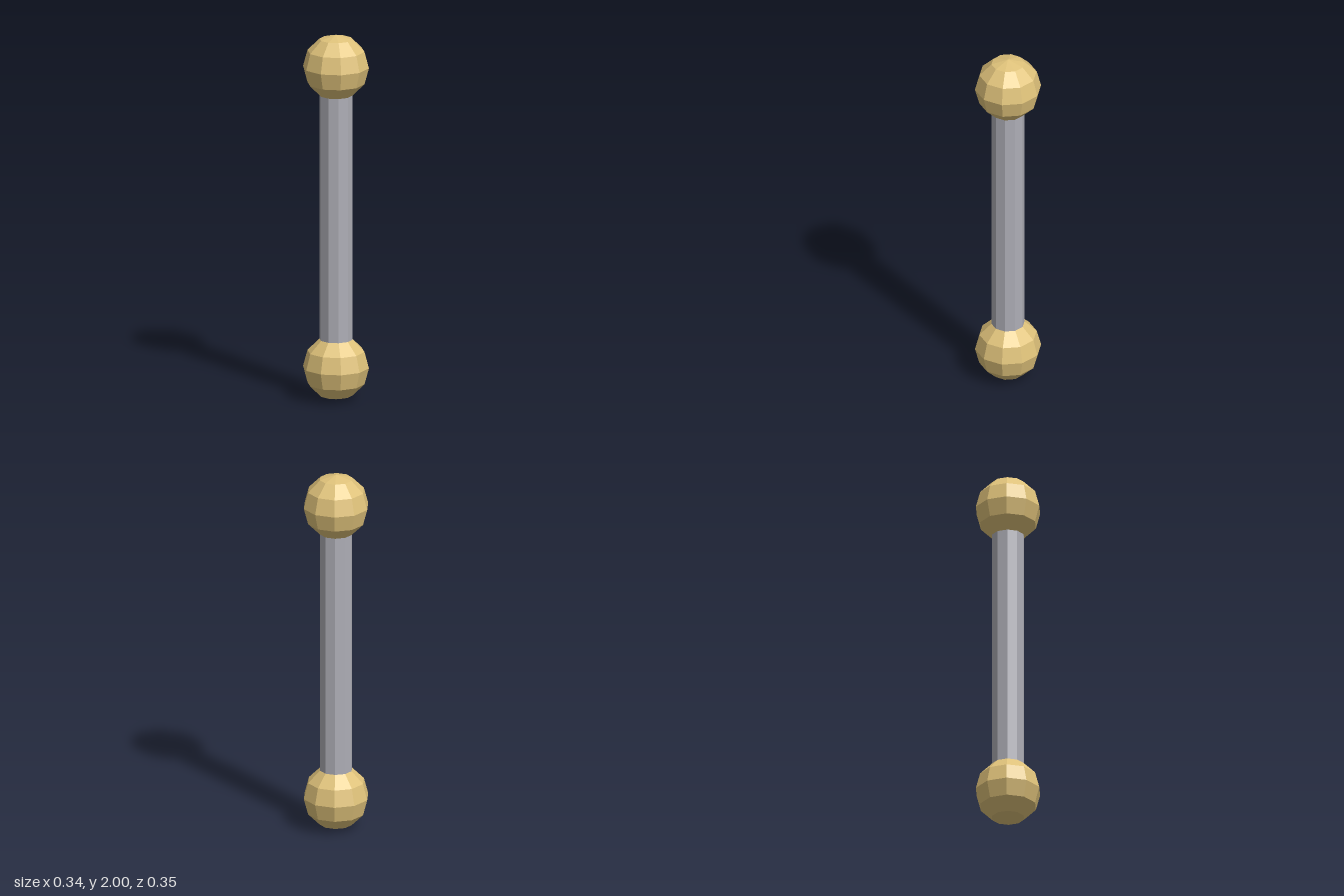
import * as THREE from 'three';

const SIDES = 10;
const R = 0.177;                        // ball radius
const HEIGHT = 2;
const CUT = R * Math.cos(Math.PI / 6);  // height of the ring where rod meets ball

export function createModel() {
  const gold = new THREE.MeshStandardMaterial({ color: 0xdfc27a });
  gold.name = 'gold';
  gold.flatShading = true;
  const steel = new THREE.MeshStandardMaterial({ color: 0xaeaeb6 });
  steel.name = 'steel';
  steel.flatShading = true;

  const group = new THREE.Group();
  group.name = 'barbell';

  const add = (name, geometry, material, y) => {
    const mesh = new THREE.Mesh(geometry, material);
    mesh.name = name;
    mesh.position.y = y;
    group.add(mesh);
  };

  // End balls: faceted spheres, left open on the ring that joins the rod
  const ball = (thetaStart) => new THREE.SphereGeometry(
    R, SIDES, 5, Math.PI / 2, Math.PI * 2, thetaStart, Math.PI * 5 / 6);
  add('topBall', ball(0), gold, HEIGHT - R);
  add('bottomBall', ball(Math.PI / 6), gold, R);

  // Straight rod running between the two open rings
  const length = HEIGHT - 2 * (R + CUT);
  add('rod', new THREE.CylinderGeometry(R / 2, R / 2, length, SIDES, 1, true), steel, HEIGHT / 2);

  return group;
}
